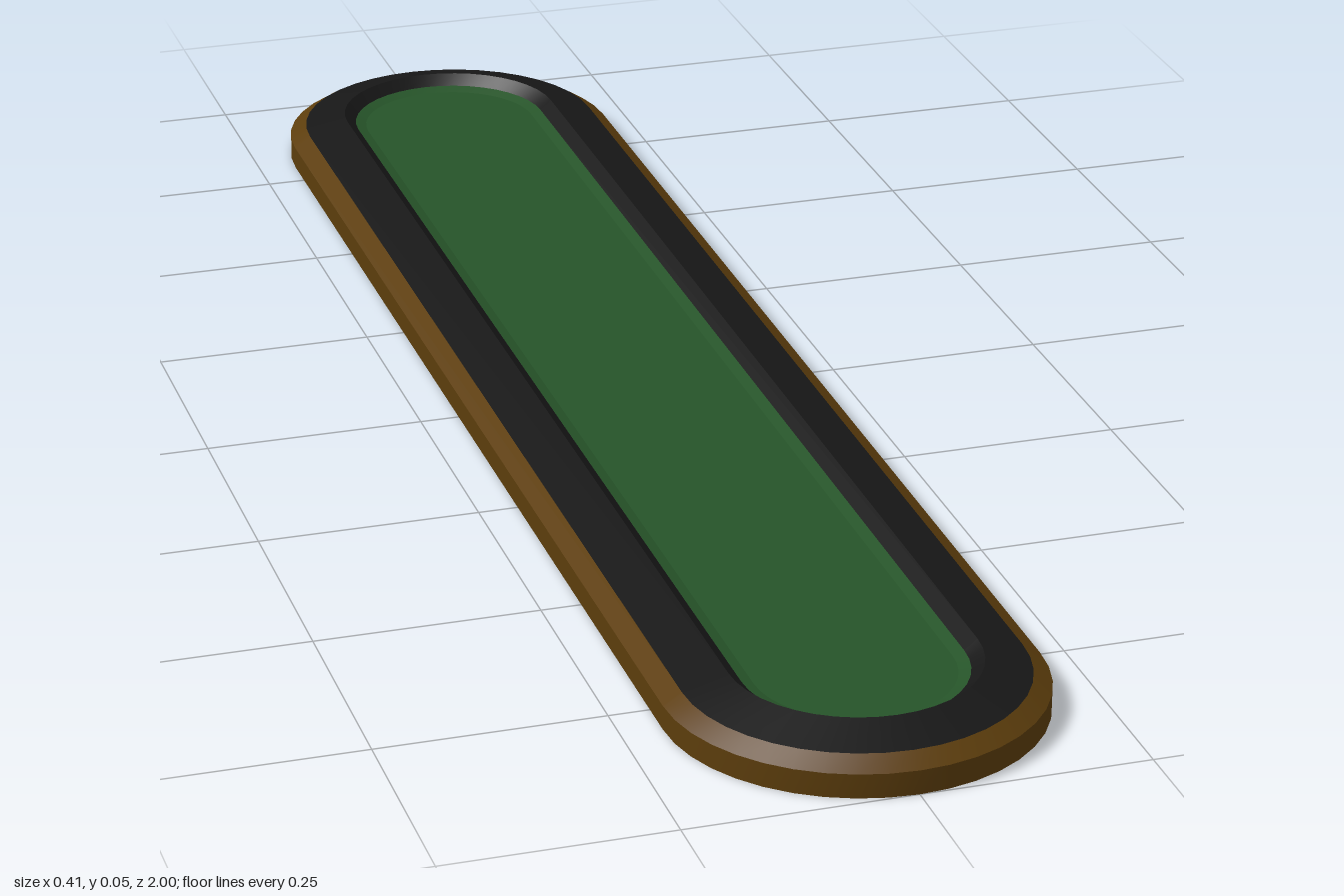
import * as THREE from 'three';

const SEGMENTS = 20;      // steps around each rounded end
const END_CENTRE = 0.795; // z of the centre of each rounded end

// Points of a stadium-shaped ring with half-width r at height y
function ring(r, y) {
  const points = [];
  for (const [start, cz] of [[0, END_CENTRE], [Math.PI, -END_CENTRE]]) {
    for (let i = 0; i <= SEGMENTS; i++) {
      const a = start + (Math.PI * i) / SEGMENTS;
      points.push(r * Math.cos(a), y, cz + r * Math.sin(a));
    }
  }
  return points;
}

// Band between two rings, smooth around the outline and sharp at its edges
function band([r0, y0], [r1, y1]) {
  const positions = [...ring(r0, y0), ...ring(r1, y1)];
  const n = positions.length / 6;
  const index = [];
  for (let i = 0; i < n; i++) {
    const j = (i + 1) % n;
    index.push(i, n + i, j, j, n + i, n + j);
  }
  return build(positions, index);
}

// Flat panel closing a ring
function panel([r, y]) {
  const positions = [...ring(r, y), 0, y, 0];
  const n = positions.length / 3 - 1;
  const index = [];
  for (let i = 0; i < n; i++) index.push(i, n, (i + 1) % n);
  return build(positions, index);
}

function build(positions, index) {
  const g = new THREE.BufferGeometry();
  g.setAttribute('position', new THREE.Float32BufferAttribute(positions, 3));
  g.setIndex(index);
  g.computeVertexNormals();
  return g;
}

// Named part made of the bands along a profile of [half-width, height] pairs
function part(name, color, profile, closed = false) {
  const group = new THREE.Group();
  group.name = name;
  const material = new THREE.MeshStandardMaterial({ color, side: THREE.DoubleSide });
  const add = (geometry, label) => {
    const mesh = new THREE.Mesh(geometry, material);
    mesh.name = label;
    group.add(mesh);
  };
  for (let i = 0; i + 1 < profile.length; i++) {
    add(band(profile[i], profile[i + 1]), `${name}Band${i + 1}`);
  }
  if (closed) add(panel(profile[profile.length - 1]), `${name}Panel`);
  return group;
}

export function createModel() {
  const model = new THREE.Group();
  model.name = 'inlaidStrip';
  model.add(
    // Upright outer wall with a bevelled shoulder, open underneath
    part('outerRim', 0x5c3d0c, [[0.205, 0], [0.205, 0.027], [0.185, 0.04]]),
    // Sloping dark frame that drops into the recess
    part('frame', 0x171717, [[0.185, 0.04], [0.135, 0.054], [0.121, 0.042]]),
    // Recessed inlay with a shallow bevelled edge
    part('inlay', 0x265429, [[0.121, 0.042], [0.108, 0.038]], true),
  );
  return model;
}
